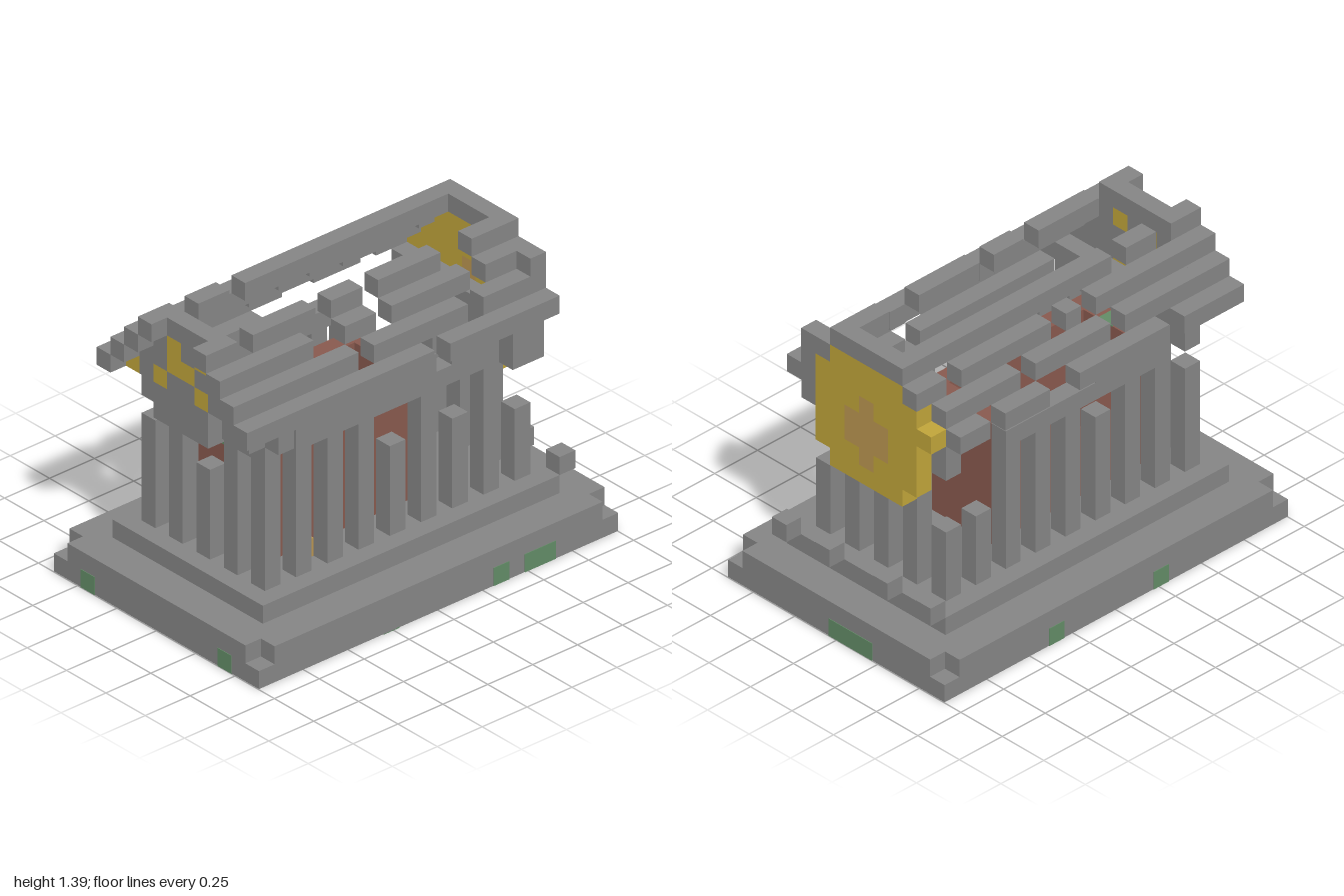
import * as THREE from 'three';

const U = 2 / 23; // one block

export function createModel() {
  const root = new THREE.Group();
  const paint = (name, color) => {
    const m = new THREE.MeshStandardMaterial({ color });
    m.name = name;
    return m;
  };
  const stone = paint('stone', 0x858585);
  const brick = paint('brick', 0x88594e);
  const gold = paint('gold', 0xc0a43a);
  const sand = paint('sand', 0xba9550);
  const moss = paint('moss', 0x628b66);

  const part = (name) => {
    const g = new THREE.Group();
    g.name = name;
    root.add(g);
    return g;
  };
  // Box given by inclusive block indices; x and z are centred on block 0, y starts at 0
  const block = (g, mat, x0, x1, y0, y1, z0, z1, name = g.name) => {
    const m = new THREE.Mesh(
      new THREE.BoxGeometry((x1 - x0 + 1) * U, (y1 - y0 + 1) * U, (z1 - z0 + 1) * U), mat);
    m.position.set((x0 + x1) / 2 * U, (y0 + y1 + 1) / 2 * U, (z0 + z1) / 2 * U);
    m.name = name;
    g.add(m);
    return m;
  };
  // Thin moss patch on one face of a block
  const T = 0.006;
  const patch = (g, axis, sign, x, y, z, nx = 1, nz = 1) => {
    const size = [nx * U, U, nz * U];
    size[axis] = T;
    const m = new THREE.Mesh(new THREE.BoxGeometry(...size), moss);
    const p = [(x + (nx - 1) / 2) * U, (y + 0.5) * U, (z + (nz - 1) / 2) * U];
    p[axis] += sign * U / 2;
    m.position.set(...p);
    m.name = 'mossPatch';
    g.add(m);
  };

  // Stepped base with notched upper corners
  const base = part('base');
  block(base, stone, -7, 7, 0, 0, -11, 11);
  block(base, stone, -6, 6, 1, 1, -11, 11);
  for (const x of [-7, 7]) block(base, stone, x, x, 1, 1, -10, 10);
  block(base, stone, -5, 5, 2, 2, -9, 9, 'upperStep');

  // Moss on the base sides and underside
  const growth = part('moss');
  for (const x of [-5, 5]) patch(growth, 2, 1, x, 0, 11);
  patch(growth, 2, -1, -2, 0, -11, 3);
  patch(growth, 0, 1, 7, 0, -4);
  patch(growth, 0, 1, 7, 0, -7, 1, 2);
  for (const z of [-4, 3]) patch(growth, 0, -1, -7, 0, z);
  const under = [[1, -5, 2, 2], [-2, -8, 2, 2], [-4, -8, 1, 2], [1, -10, 2, 1], [1, -8], [5, -4, 1, 2],
    [6, -3], [3, 1], [6, 1], [7, 3], [5, 5], [4, 4], [5, 11], [3, 8], [0, 5, 2, 1], [-2, 3, 1, 2],
    [-2, 8, 2, 1], [-4, 2], [-2, -2, 1, 2], [-4, -3], [1, 3], [0, 0], [-1, 1], [-6, -6], [-5, 7]];
  for (const [x, z, nx, nz] of under) patch(growth, 1, -1, x, 0, z, nx, nz);

  // Columns: x, z, top block
  const columns = part('columns');
  const column = (x, z, top = 9) => block(columns, stone, x, x, 3, top, z, z, 'column');
  for (let z = -6; z <= 6; z += 2) {
    column(4, z, z === 0 || z === -4 ? 7 : 9);
    column(-4, z, { '-6': 6, 2: 8 }[z]);
  }
  for (const x of [-2, 0, 2]) {
    column(x, 8, x === 0 ? 7 : 9);
    column(x, -8);
  }
  column(4, 8);
  column(-4, 8, 8);
  column(4, -8, 6);
  column(-4, -8, 6);

  // Inner brick chamber
  const chamber = part('chamber');
  block(chamber, brick, -1, 1, 3, 9, 7, 7, 'frontWall');
  block(chamber, brick, -1, 1, 3, 9, -3, -3, 'backWall');
  block(chamber, brick, 2, 2, 3, 9, -3, 0, 'sideWall');
  block(chamber, brick, 2, 2, 3, 3, 1, 1, 'sideWall');
  block(chamber, brick, 2, 2, 5, 9, 1, 1, 'sideWall');
  block(chamber, brick, 2, 2, 3, 9, 2, 7, 'sideWall');
  block(chamber, brick, -2, -2, 3, 9, -3, 0, 'sideWall');
  block(chamber, brick, -2, -2, 3, 6, 1, 2, 'sideWall');
  block(chamber, brick, -2, -2, 3, 9, 3, 4, 'sideWall');
  block(chamber, brick, -2, -2, 3, 3, 5, 5, 'sideWall');
  block(chamber, sand, -2, -2, 4, 4, 5, 5, 'sandBlock');
  block(chamber, brick, -2, -2, 5, 9, 5, 5, 'sideWall');
  block(chamber, brick, -2, -2, 3, 9, 6, 7, 'sideWall');
  patch(chamber, 2, 1, 0, 9, 7);
  patch(chamber, 1, 1, 0, 9, 7);
  patch(chamber, 0, 1, 2, 5, 7);
  patch(chamber, 0, 1, 2, 8, 5);

  // Loose blocks
  const rubble = part('rubble');
  for (const x of [-5, -2, 2, 5]) block(rubble, stone, x, x, 3, 3, -10, -10);
  block(rubble, sand, 3, 3, 3, 3, 5, 5, 'sandBlock');

  // Broken beams above the columns
  const beams = part('beams');
  block(beams, stone, -4, 4, 10, 11, 8, 8);
  block(beams, stone, -4, 4, 10, 11, -8, -8);
  block(beams, stone, -2, 1, 10, 11, 9, 9);
  block(beams, stone, 3, 4, 11, 11, 9, 9);
  for (const [z0, z1] of [[-2, 6], [-7, -4]]) block(beams, stone, 4, 4, 10, 11, z0, z1);
  block(beams, stone, 4, 4, 10, 10, -3, -3);
  block(beams, stone, -4, -4, 10, 11, 2, 6);
  block(beams, stone, -4, -4, 10, 10, -4, 1);
  block(beams, stone, 5, 5, 10, 11, -8, -7);
  block(beams, stone, 5, 5, 11, 11, 8, 8);

  // Gables drawn as rows of blocks from the top row down, x from -5 to 5
  const mats = { g: stone, Y: gold, B: sand };
  const gable = (name, z, rows) => {
    const g = part(name);
    rows.forEach((row, r) => {
      for (const run of row.matchAll(/g+|Y+|B+/g)) {
        const x = run.index - 5;
        block(g, mats[run[0][0]], x, x + run[0].length - 1, 15 - r, 15 - r, z, z);
      }
    });
  };
  gable('frontGable', 9, [
    '...ggggg...',
    '..ggYgYgg..',
    '.gggYYgggg.',
    'gYgYggYgggg']);
  gable('backGable', -9, [
    '...ggggg...',
    '..gYYYYYgg.',
    '..YYYYYYYg.',
    '.YYYYBYYYgg',
    '..YYBBBYY..',
    '..YYBBBYY..',
    '..YYYBYYY..',
    '...YYYYY...']);

  // Broken roof rails, stepping up toward the ridge: x, y, runs along z
  const roof = part('roofRails');
  const rails = [
    [5, 12, [[10, 10], [5, 8], [-1, 4], [-8, -3]]],
    [4, 13, [[10, 10], [3, 8], [-4, 1], [-8, -6]]],
    [3, 14, [[10, 10], [5, 8], [1, 2], [-5, -1], [-8, -7]]],
    [2, 15, [[10, 10], [4, 7], [1, 2], [-4, -1], [-8, -7]]],
    [-5, 12, [[10, 10], [7, 8], [0, 5], [-5, -3], [-8, -7]]],
    [-4, 13, [[10, 10], [4, 8], [-2, 2], [-8, -4]]],
    [-3, 14, [[10, 10], [3, 8], [1, 1], [-6, -1], [-8, -8]]],
    [-2, 15, [[10, 10], [6, 7], [0, 4], [-8, -1]]],
  ];
  for (const [x, y, runs] of rails)
    for (const [z0, z1] of runs) block(roof, stone, x, x, y, y, z0, z1, 'roofRail');

  return root;
}
